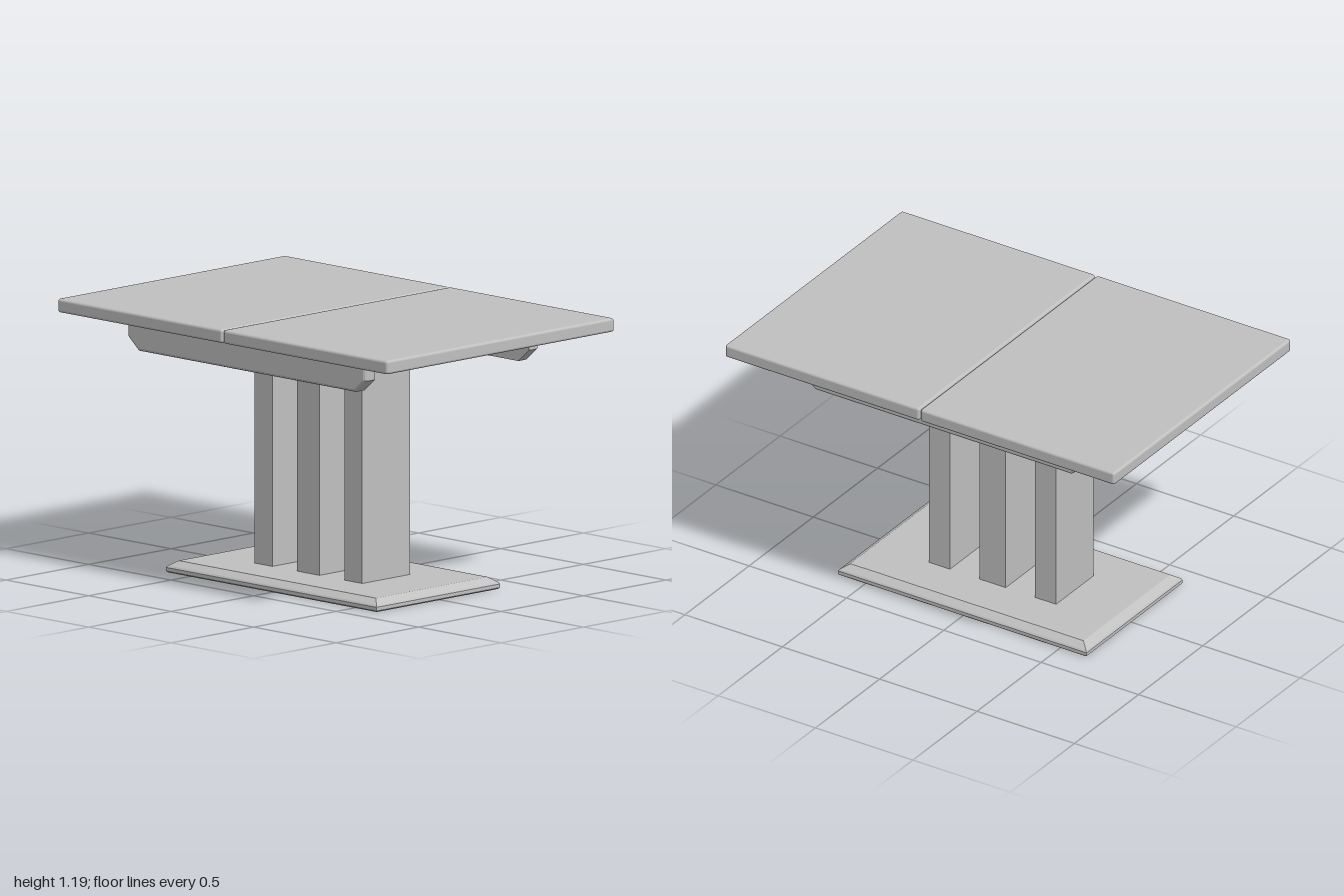
import * as THREE from 'three';
import { RoundedBoxGeometry } from 'three/addons/geometries/RoundedBoxGeometry.js';

// Joins matching convex counter-clockwise outlines, stacked along +z, and caps both ends
function loft(layers) {
  const pos = [];
  const push = (layer, i) => {
    const [x, y] = layer.outline[i % layer.outline.length];
    pos.push(x, y, layer.z);
  };
  const n = layers[0].outline.length;
  for (let k = 0; k < layers.length - 1; k++) {
    const a = layers[k], b = layers[k + 1];
    for (let i = 0; i < n; i++) {
      push(a, i); push(a, i + 1); push(b, i + 1);
      push(a, i); push(b, i + 1); push(b, i);
    }
  }
  const first = layers[0], last = layers[layers.length - 1];
  for (let i = 1; i < n - 1; i++) {
    push(first, 0); push(first, i + 1); push(first, i);
    push(last, 0); push(last, i); push(last, i + 1);
  }
  const geometry = new THREE.BufferGeometry();
  geometry.setAttribute('position', new THREE.Float32BufferAttribute(pos, 3));
  geometry.computeVertexNormals();
  return geometry;
}

const rect = (w, h) => [[-w, -h], [w, -h], [w, h], [-w, h]];

// Side apron outline with its lower corners cut off
const apronOutline = (d) => [
  [-0.657 + d * 0.4, 0.985 + d], [0.657 - d * 0.4, 0.985 + d],
  [0.72 - d, 1.04 + d * 0.4], [0.72 - d, 1.127 - d],
  [-0.72 + d, 1.127 - d], [-0.72 + d, 1.04 + d * 0.4],
];

export function createModel() {
  const group = new THREE.Group();
  const grey = new THREE.MeshStandardMaterial({ color: 0xc0c0c0 });
  grey.name = 'grey';
  const midZ = 0.018; // the frame sits slightly forward of the top

  const add = (name, geometry, x = 0, y = 0, z = 0, parent = group) => {
    const mesh = new THREE.Mesh(geometry, grey);
    mesh.name = name;
    mesh.position.set(x, y, z);
    parent.add(mesh);
    return mesh;
  };

  // Two-part table top with a narrow seam
  for (const side of [-1, 1]) {
    add(side > 0 ? 'leftTop' : 'rightTop',
      new RoundedBoxGeometry(0.997, 0.06, 1.38, 3, 0.012), side * 0.5015, 1.157, 0);
  }

  // Base plate with bevelled rim
  const base = add('basePlate', loft([
    { z: 0, outline: rect(0.632, 0.368) },
    { z: 0.006, outline: rect(0.638, 0.375) },
    { z: 0.022, outline: rect(0.638, 0.375) },
    { z: 0.03, outline: rect(0.632, 0.369) },
    { z: 0.052, outline: rect(0.598, 0.338) },
  ]), 0, 0, midZ);
  base.rotation.x = -Math.PI / 2;

  // Three columns
  for (const [x, w] of [[-0.275, 0.108], [-0.003, 0.135], [0.27, 0.108]]) {
    add('column', new THREE.BoxGeometry(w, 1.077, 0.29), x, 0.05 + 1.077 / 2, 0.02);
  }

  // Cross beams beside the columns
  for (const x of [-0.39, 0.39]) {
    add('crossBeam', new THREE.BoxGeometry(0.04, 0.082, 0.975), x, 1.086, midZ);
  }

  // Side aprons, each with a channel-shaped slide rail on the inner face
  for (const turn of [0, Math.PI]) {
    const side = new THREE.Group();
    side.name = turn ? 'backSide' : 'frontSide';
    side.position.z = midZ;
    side.rotation.y = turn;
    group.add(side);
    add('apron', loft([
      { z: 0.467, outline: apronOutline(0) },
      { z: 0.516, outline: apronOutline(0) },
      { z: 0.523, outline: apronOutline(0.004) },
      { z: 0.527, outline: apronOutline(0.012) },
    ]), 0, 0, 0, side);
    add('slideRailWeb', new THREE.BoxGeometry(1.4, 0.045, 0.008), 0, 1.098, 0.463, side);
    for (const y of [1.08, 1.116]) {
      add('slideRailLip', new THREE.BoxGeometry(1.4, 0.009, 0.014), 0, y, 0.452, side);
    }
  }

  return group;
}
